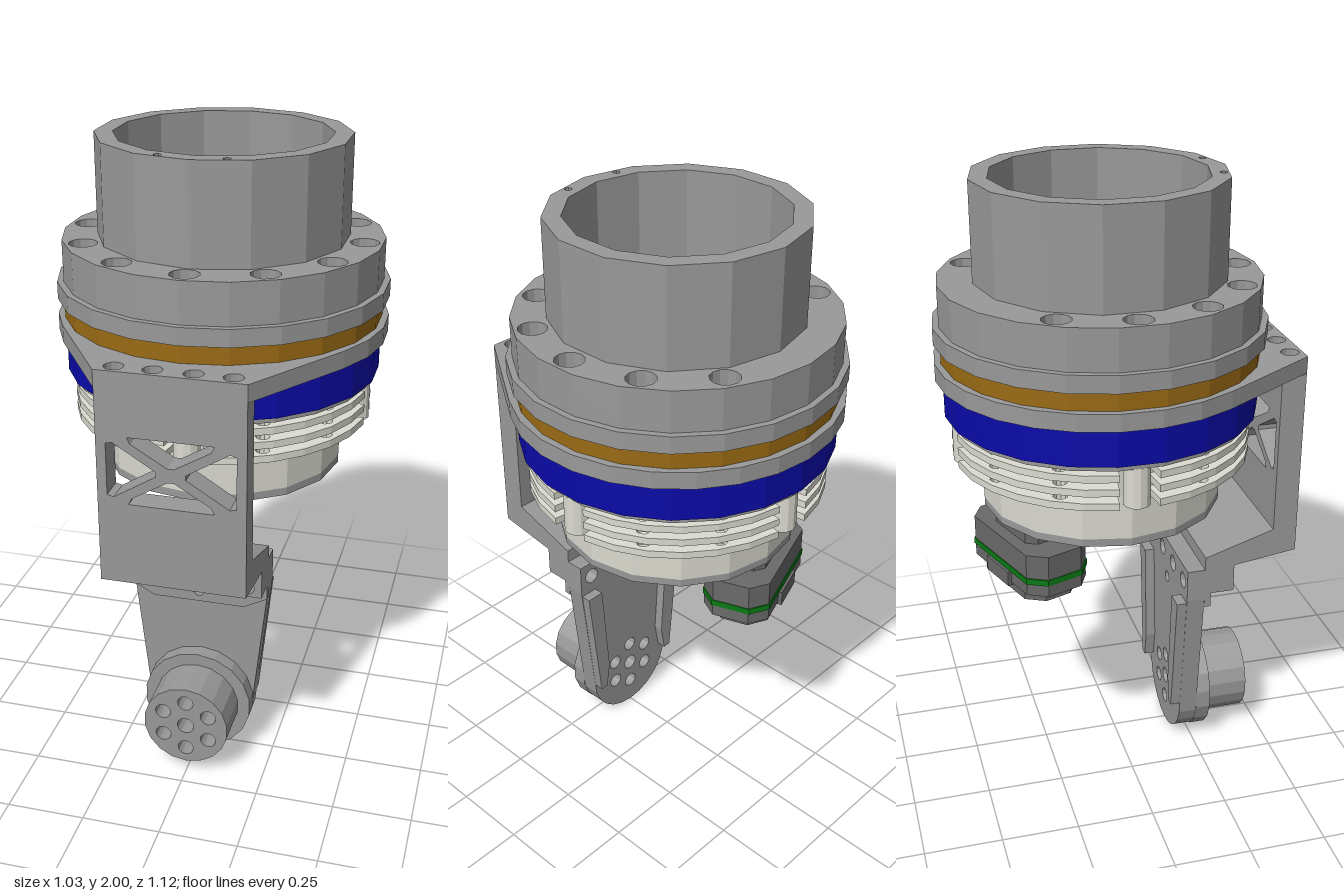
import * as THREE from 'three';

const AXIS_Z = -0.045;
const mat = (color) => new THREE.MeshStandardMaterial({ color, flatShading: true });
const grey = mat(0x999999), darkGrey = mat(0x6a6a6a), ivory = mat(0xdcdcd2);
const amber = mat(0x9a6a14), blue = mat(0x0a0aa8), green = mat(0x0a7a14);

// Points on an arc; the angle runs from the front (+z) towards +x
function arc(r, n, a0 = 0, a1 = Math.PI * 2, cx = 0, cy = 0) {
  const full = a1 - a0 > 6.28;
  return Array.from({ length: full ? n : n + 1 }, (_, i) => {
    const a = a0 + ((a1 - a0) * i) / n;
    return new THREE.Vector2(cx + r * Math.sin(a), cy - r * Math.cos(a));
  });
}

function shapeOf(points, holes = []) {
  const s = new THREE.Shape(points);
  s.holes = holes.map((h) => new THREE.Path(h));
  return s;
}

const pts = (...list) => list.map(([x, y]) => new THREE.Vector2(x, y));
const round = (x, y, r, n = 12) => arc(r, n, 0, Math.PI * 2, x, y);

function extrude(shape, depth) {
  return new THREE.ExtrudeGeometry(shape, { depth, bevelEnabled: false });
}

function add(parent, name, geometry, material) {
  const m = new THREE.Mesh(geometry, material);
  m.name = name;
  parent.add(m);
  return m;
}

// Horizontal slab from y0 to y1
function slab(parent, name, shape, y0, y1, material) {
  const g = extrude(shape, y1 - y0).rotateX(-Math.PI / 2).translate(0, y0, 0);
  return add(parent, name, g, material);
}

// Upright slab from z0 to z1
function panel(parent, name, shape, z0, z1, material) {
  return add(parent, name, extrude(shape, z1 - z0).translate(0, 0, z0), material);
}

function lathe(parent, name, profile, n, material) {
  return add(parent, name, new THREE.LatheGeometry(pts(...profile, profile[0]), n), material);
}

// Bolt circle: twelve positions with two left out at the back
function boltHoles(r) {
  const holes = [];
  for (let i = 0; i < 12; i++) {
    if (i === 6 || i === 7) continue;
    const a = (i * Math.PI) / 6;
    holes.push(round(0.44 * Math.sin(a), -0.44 * Math.cos(a), r));
  }
  return holes;
}

const ring = (outer, inner, n, boltR) =>
  shapeOf(arc(outer, n), [arc(inner, 16), ...boltHoles(boltR)]);

function buildHousing() {
  const g = new THREE.Group();
  g.name = 'housing';
  g.position.z = AXIS_Z;

  // Collar, bolted flange and stacked rings
  slab(g, 'collar', shapeOf(arc(0.392, 14), [
    arc(0.335, 14), round(-0.1, -0.352, 0.012, 8), round(0.1, -0.352, 0.012, 8),
  ]), 1.69, 2, grey);
  slab(g, 'flangeTop', ring(0.5, 0.335, 22, 0.045), 1.64, 1.69, grey);
  slab(g, 'flangeBase', ring(0.5, 0.325, 22, 0.024), 1.56, 1.64, grey);
  slab(g, 'upperRing', ring(0.52, 0.34, 22, 0.024), 1.505, 1.56, grey);
  slab(g, 'amberRing', ring(0.5, 0.36, 22, 0.024), 1.445, 1.505, amber);
  slab(g, 'blueRing', ring(0.497, 0.35, 22, 0.024), 1.27, 1.39, blue);
  slab(g, 'lowerRing', ring(0.48, 0.33, 22, 0.024), 1.25, 1.27, grey);

  // Mounting plate with a tapered tongue at the front
  const tongueZ = -(0.56 - AXIS_Z);
  const outline = [...pts([0.225, tongueZ]), ...arc(0.52, 18, 0.99, Math.PI * 2 - 0.99),
    ...pts([-0.225, tongueZ])];
  const plateHoles = [-0.175, -0.06, 0.06, 0.175].map((x) => round(x, -0.565, 0.03));
  slab(g, 'mountingPlate', shapeOf(outline, [arc(0.335, 16), ...boltHoles(0.024), ...plateHoles]),
    1.39, 1.445, grey);

  // Pale lower body with a bottom ring
  lathe(g, 'lowerBody', [[0.385, 0.975], [0.388, 1.12], [0.4, 1.25], [0.33, 1.25],
    [0.33, 1.12], [0.3, 1.1], [0.3, 0.975]], 16, ivory);
  const screws = arc(0.342, 8, Math.PI / 8, Math.PI * 2 + Math.PI / 8).map((p) => round(p.x, p.y, 0.015, 8));
  slab(g, 'bottomRing', shapeOf(arc(0.385, 16), [arc(0.3, 16), ...screws]), 0.95, 0.975, grey);

  // Cooling fins in four arcs, with a hollow post in each gap
  for (let q = 0; q < 4; q++) {
    const mid = (q * Math.PI) / 2;
    const a0 = mid + 0.13, a1 = mid + Math.PI / 2 - 0.13;
    const holes = [1, 2].map((k) => {
      const a = mid + (k * Math.PI) / 6;
      return round(0.435 * Math.sin(a), -0.435 * Math.cos(a), 0.022, 10);
    });
    const fin = shapeOf([...arc(0.475, 6, a0, a1), ...arc(0.37, 6, a0, a1).reverse()], holes);
    [1.12, 1.165, 1.21].forEach((y) => slab(g, 'coolingFin', fin, y, y + 0.023, ivory));
    const post = lathe(g, 'post', [[0.042, 1.12], [0.042, 1.25], [0.023, 1.25], [0.023, 1.12]], 12, ivory);
    post.position.set(0.435 * Math.sin(mid), 0, 0.435 * Math.cos(mid));
  }
  return g;
}

function buildBracket() {
  const g = new THREE.Group();
  g.name = 'bracket';

  // Front plate with four triangular windows leaving a cross
  const windows = [
    pts([-0.13, 1.245], [0.13, 1.245], [0.12, 1.225], [0.01, 1.16], [-0.01, 1.16], [-0.12, 1.225]),
    pts([-0.13, 1.03], [0.13, 1.03], [0.12, 1.05], [0.01, 1.115], [-0.01, 1.115], [-0.12, 1.05]),
    ...[-1, 1].map((s) => pts([s * 0.195, 1.22], [s * 0.175, 1.225], [s * 0.045, 1.145],
      [s * 0.045, 1.13], [s * 0.175, 1.05], [s * 0.195, 1.055])),
  ];
  panel(g, 'frontPlate',
    shapeOf(pts([-0.225, 0.845], [0.225, 0.845], [0.225, 1.395], [-0.225, 1.395]), windows), 0.48, 0.56, grey);

  // Sloping foot, drawn as a side profile
  const foot = shapeOf(pts([0.56, 0.765], [0.56, 0.85], [0.48, 0.85], [0.25, 0.775], [0.25, 0.735], [0.35, 0.735]));
  add(g, 'foot', extrude(foot, 0.45).rotateY(-Math.PI / 2).translate(0.225, 0, 0), grey);
  const holes = [-0.175, -0.06, 0.06, 0.175].map((x) => round(x, 0.675, 0.028));
  panel(g, 'clampBlock',
    shapeOf(pts([-0.225, 0.64], [0.225, 0.64], [0.225, 0.74], [-0.225, 0.74]), holes), 0.25, 0.35, grey);
  panel(g, 'clampLip', shapeOf(pts([-0.15, 0.55], [0.15, 0.55], [0.225, 0.59], [0.225, 0.64], [-0.225, 0.64],
    [-0.225, 0.59]), [round(0, 0.59, 0.02)]), 0.25, 0.272, grey);
  return g;
}

function buildArm() {
  const g = new THREE.Group();
  g.name = 'arm';
  const hubY = 0.18;
  const hubHoles = [round(0, hubY, 0.028),
    ...arc(0.087, 6, 0, Math.PI * 2, 0, hubY).map((p) => round(p.x, p.y, 0.026))];
  const clampHoles = [-0.175, -0.06, 0.06, 0.175].map((x) => round(x, 0.675, 0.028));

  // Tapered arm with a rounded lower end
  const outline = [...pts([0.225, 0.73], [-0.225, 0.73], [-0.225, 0.62]),
    ...arc(0.178, 12, -1.6, 1.6, 0, hubY), ...pts([0.225, 0.62])];
  panel(g, 'armPlate', shapeOf(outline, [...hubHoles, ...clampHoles, round(0, 0.59, 0.02)]), 0.19, 0.25, grey);

  // Stiffening rails on the rear face
  [-1, 1].forEach((s) => panel(g, 'rail', shapeOf(pts([s * 0.222, 0.61], [s * 0.16, 0.61],
    [s * 0.135, 0.27], [s * 0.15, 0.18], [s * 0.177, 0.18])), 0.157, 0.195, grey));

  // Hub disc and end drum
  panel(g, 'hubDisc', shapeOf(arc(0.18, 18, 0, Math.PI * 2, 0, hubY), hubHoles), 0.25, 0.3, grey);
  panel(g, 'drum', shapeOf(arc(0.14, 18, 0, Math.PI * 2, 0, hubY), hubHoles), 0.3, 0.445, grey);
  return g;
}

function buildSensorBox() {
  const g = new THREE.Group();
  g.name = 'sensorBox';
  g.position.set(-0.09, 0, -0.305);
  g.rotation.y = 0.35;
  // Chamfered block outline
  const block = (w, d, c) => shapeOf(pts([-w + c, -d], [w - c, -d], [w, -d + c], [w, d - c],
    [w - c, d], [-w + c, d], [-w, d - c], [-w, -d + c]));
  slab(g, 'boxBase', block(0.17, 0.095, 0.05), 0.72, 0.76, darkGrey);
  slab(g, 'boxLower', block(0.21, 0.11, 0.05), 0.76, 0.8, darkGrey);
  slab(g, 'circuitBoard', block(0.213, 0.113, 0.05), 0.8, 0.82, green);
  slab(g, 'boxUpper', block(0.21, 0.11, 0.05), 0.82, 0.9, darkGrey);
  slab(g, 'boxNeck', block(0.12, 0.07, 0.03), 0.9, 0.955, darkGrey);
  add(g, 'socket', new THREE.BoxGeometry(0.13, 0.05, 0.02).translate(0, 0.775, -0.112), darkGrey);
  return g;
}

export function createModel() {
  const model = new THREE.Group();
  model.name = 'jointAssembly';
  model.add(buildHousing(), buildBracket(), buildArm(), buildSensorBox());
  return model;
}
